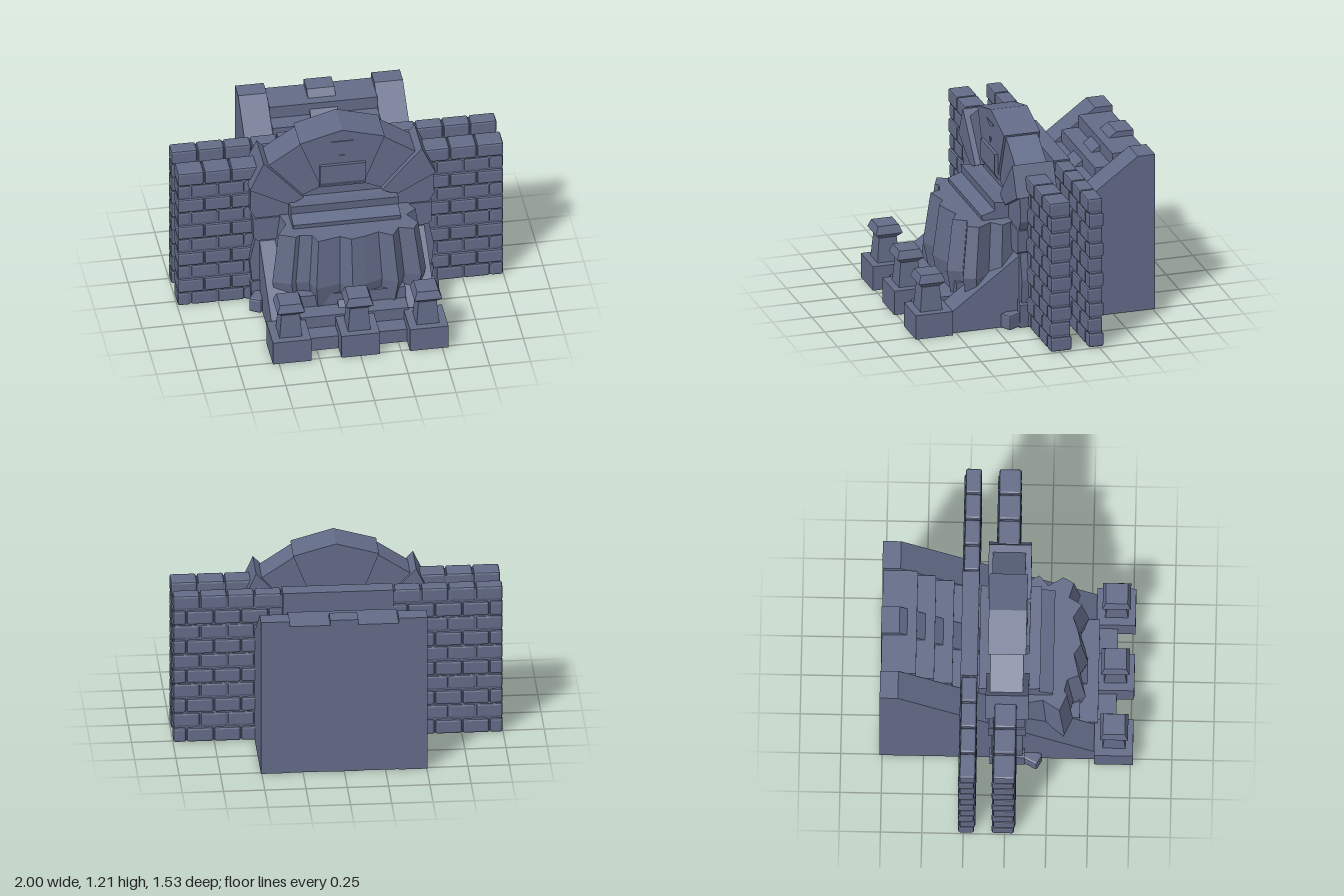
import * as THREE from 'three';
import { RoundedBoxGeometry } from 'three/addons/geometries/RoundedBoxGeometry.js';

export function createModel() {
  const model = new THREE.Group();
  const stone = new THREE.MeshStandardMaterial({ color: 0x626b87, flatShading: true });
  stone.name = 'slate stone';

  const add = (name, geometry, parent = model) => {
    const mesh = new THREE.Mesh(geometry, stone);
    mesh.name = name;
    parent.add(mesh);
    return mesh;
  };
  const group = (name) => {
    const g = new THREE.Group();
    g.name = name;
    model.add(g);
    return g;
  };
  // Box given by its limits on each axis
  const block = (name, x0, x1, y0, y1, z0, z1, parent) => {
    const mesh = add(name, new THREE.BoxGeometry(x1 - x0, y1 - y0, z1 - z0), parent);
    mesh.position.set((x0 + x1) / 2, (y0 + y1) / 2, (z0 + z1) / 2);
    return mesh;
  };
  const shapeOf = (pts) => new THREE.Shape(pts.map(([x, y]) => new THREE.Vector2(x, y)));
  // Outline in x and y, extruded from z0 to z1
  const slab = (name, pts, z0, z1, parent) =>
    add(name, new THREE.ExtrudeGeometry(shapeOf(pts), { depth: z1 - z0, bevelEnabled: false }).translate(0, 0, z0), parent);
  // Outline in z and y, extruded from x0 to x1
  const sideSlab = (name, pts, x0, x1, parent) => {
    const outline = pts.map(([z, y]) => [-z, y]);
    const geometry = new THREE.ExtrudeGeometry(shapeOf(outline), { depth: x1 - x0, bevelEnabled: false });
    return add(name, geometry.rotateY(Math.PI / 2).translate(x0, 0, 0), parent);
  };

  // Staircase: twelve steps between sloping rails
  const stairs = group('staircase');
  const profile = [[0.66, 0]];
  for (let i = 0; i < 12; i++) {
    const z = 0.66 - 0.11 * i, y = 0.09 + 0.08 * i;
    profile.push([z, y], [i < 11 ? z - 0.11 : -0.76, y]);
  }
  profile.push([-0.76, 0]);
  sideSlab('steps', profile, -0.33, 0.33, stairs);
  const rail = [[0.535, 0], [0.535, 0.13], [-0.655, 1.005], [-0.765, 1.005], [-0.765, 0]];
  for (const [x0, x1] of [[-0.505, -0.33], [-0.085, 0.085], [0.33, 0.505]]) sideSlab('rail', rail, x0, x1, stairs);

  // Pedestals with tapered posts and flared caps
  const postProfile = [[0, 0.15], [0.07, 0.15], [0.056, 0.31], [0.085, 0.34], [0.066, 0.39], [0, 0.39]];
  for (const x of [-0.42, 0, 0.42]) {
    const pedestal = group('pedestal');
    block('pedestalBase', x - 0.118, x + 0.118, 0, 0.155, 0.53, 0.765, pedestal);
    const points = postProfile.map(([r, y]) => new THREE.Vector2(r * Math.SQRT2, y));
    const post = add('post', new THREE.LatheGeometry(points, 4, Math.PI / 4), pedestal);
    post.position.set(x, 0, 0.65);
  }

  // Brick walls in running bond around a thin mortar core
  const rows = 10, rowHeight = 0.0972, brickLength = 0.165;
  const brickWall = (name, side, inner, z0, z1) => {
    const wall = group(name);
    const placed = (a, b) => (side > 0 ? [a, b] : [-b, -a]);
    block('mortar', ...placed(inner, 0.99), 0.01, 0.955, z0 + 0.014, z1 - 0.014, wall);
    for (let r = 0; r < rows; r++) {
      let outer = 1;
      let length = r % 2 ? brickLength : brickLength / 2;
      while (outer > inner + 0.03) {
        const end = Math.max(outer - length, inner);
        const [a, b] = placed(end, outer);
        const shift = r % 2 ? 0.004 : -0.004;
        const geometry = new RoundedBoxGeometry(b - a - 0.005, rowHeight - 0.005, z1 - z0 - 0.006, 1, 0.013);
        const brick = add('brick', geometry, wall);
        brick.position.set((a + b) / 2, (r + 0.5) * rowHeight, (z0 + z1) / 2 + shift);
        outer = end;
        length = brickLength;
      }
    }
  };
  for (const side of [1, -1]) {
    brickWall('frontWall', side, 0.49, -0.077, 0.063);
    brickWall('backWall', side, 0.33, -0.28, -0.178);
  }
  block('backWallPanel', -0.335, 0.335, 0.3, 0.97, -0.28, -0.178);

  // Arch: keystone, mirrored voussoirs and jambs
  const arch = group('arch');
  slab('keystone', [[0, 1.213], [0.26, 1.14], [0.13, 0.81], [-0.13, 0.81], [-0.26, 1.14]], -0.115, 0.115, arch);
  const archStones = [
    ['upperVoussoir', [[0.25, 1.13], [0.46, 0.99], [0.25, 0.755], [0.12, 0.81]], -0.1, 0.1],
    ['middleVoussoir', [[0.485, 1.035], [0.57, 0.85], [0.33, 0.72], [0.24, 0.76], [0.41, 0.955]], -0.125, 0.135],
    ['lowerVoussoir', [[0.56, 0.86], [0.565, 0.69], [0.53, 0.62], [0.33, 0.62], [0.33, 0.73]], -0.1, 0.11],
    ['upperJamb', [[0.55, 0.63], [0.545, 0.49], [0.52, 0.47], [0.38, 0.47], [0.38, 0.63]], -0.11, 0.12],
    ['middleJamb', [[0.53, 0.48], [0.565, 0.31], [0.55, 0.16], [0.39, 0.16], [0.4, 0.48]], -0.09, 0.1],
    ['lowerJamb', [[0.54, 0.17], [0.56, 0.15], [0.55, 0], [0.4, 0], [0.4, 0.17]], -0.1, 0.11],
  ];
  for (const side of [1, -1]) {
    for (const [name, pts, z0, z1] of archStones) {
      slab(name, pts.map(([x, y]) => [x * side, y]), z0, z1, arch);
    }
    // Loose brick lying beside the jamb
    const loose = add('looseBrick', new RoundedBoxGeometry(0.08, 0.095, 0.11, 1, 0.013), arch);
    loose.position.set(0.525 * side, 0.05, 0.155);
    loose.rotation.y = 0.5 * side;
  }

  // Plaque and carved marks on the keystone
  sideSlab('plaque', [[0.1, 0.81], [0.112, 0.81], [0.135, 0.85], [0.135, 0.975], [0.1, 0.975]], -0.14, 0.14, arch);
  slab('carvedBrow', [[-0.07, 1.135], [0.07, 1.135], [0.03, 1.115], [0, 1.108], [-0.03, 1.115]], 0.114, 0.12, arch);
  slab('carvedTriangle', [[-0.018, 1.035], [0.018, 1.035], [0, 1.003]], 0.114, 0.12, arch);

  // Ledges stepping out under the arch
  sideSlab('lowerLedge', [[-0.17, 0.6], [0.27, 0.6], [0.28, 0.665], [0.2, 0.69], [-0.17, 0.69]], -0.33, 0.33);
  sideSlab('upperLedge', [[-0.17, 0.65], [0.19, 0.65], [0.2, 0.745], [0.11, 0.73], [-0.17, 0.73]], -0.33, 0.33);
  slab('archInfill', [[-0.33, 0.7], [0.33, 0.7], [0.25, 0.77], [0.1, 0.82], [-0.1, 0.82], [-0.25, 0.77]], -0.08, 0.07);

  // Jagged rock face: outline in x and z, swelling at mid height
  const outline = [
    [-0.42, -0.05], [-0.43, 0.09], [-0.4, 0.24], [-0.47, 0.35], [-0.36, 0.4], [-0.33, 0.38], [-0.25, 0.4], [-0.22, 0.475],
    [-0.07, 0.44], [0, 0.485], [0.09, 0.465], [0.19, 0.43], [0.28, 0.485], [0.33, 0.4], [0.43, 0.43],
    [0.47, 0.36], [0.41, 0.26], [0.48, 0.2], [0.42, 0.09], [0.42, -0.05],
  ];
  const rock = new THREE.ExtrudeGeometry(shapeOf(outline.map(([x, z]) => [x, -z])), { depth: 0.635, steps: 2, bevelEnabled: false });
  rock.rotateX(-Math.PI / 2);
  const p = rock.attributes.position;
  for (let i = 0; i < p.count; i++) {
    const y = p.getY(i);
    const k = y > 0.5 ? 0.91 : y > 0.2 ? 1 : 0.87;
    p.setX(i, p.getX(i) * k);
    p.setZ(i, p.getZ(i) * k);
  }
  rock.computeVertexNormals();
  add('rockFace', rock);

  return model;
}
